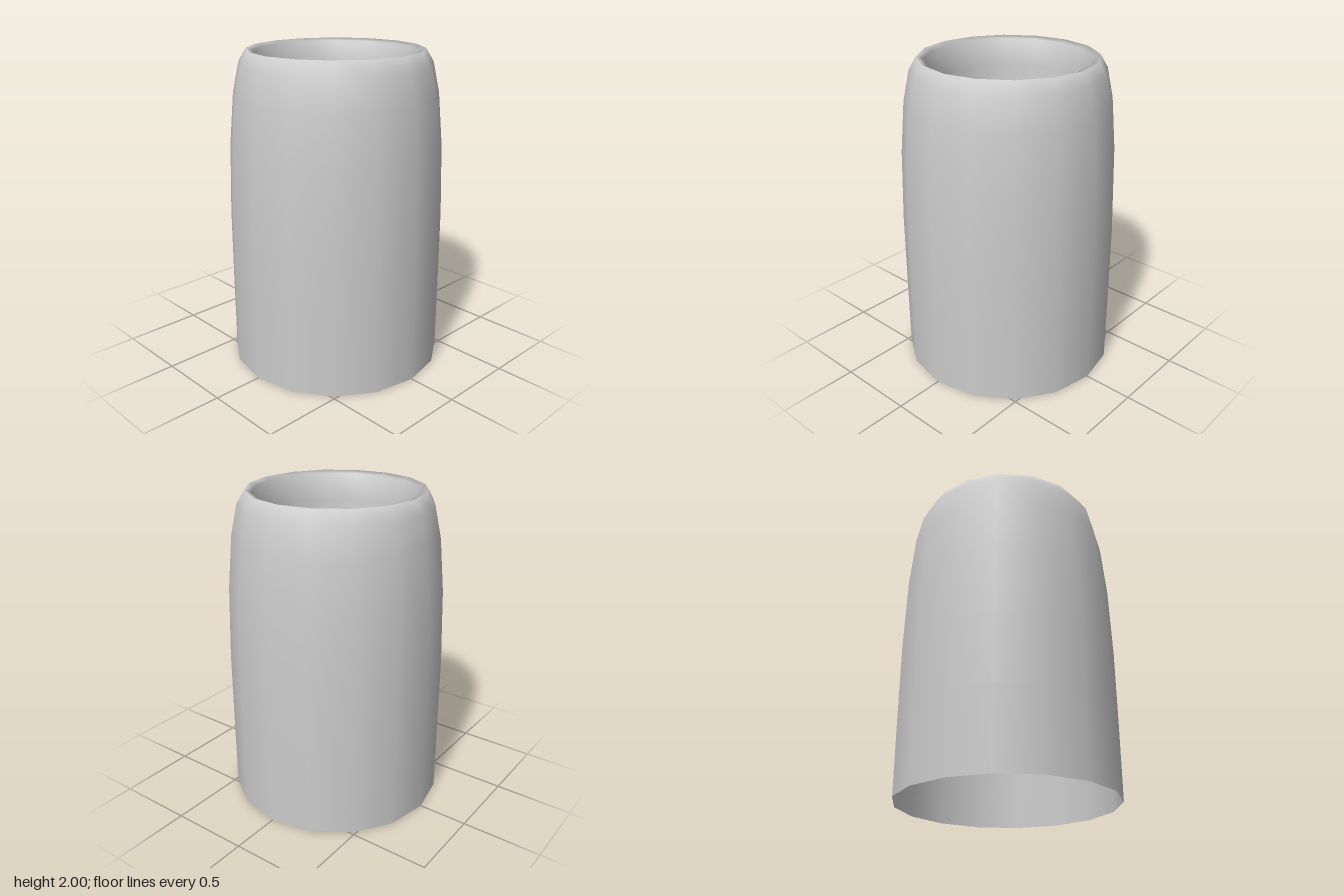
import * as THREE from 'three';

const SIDES = 16;

// Turn a profile of [radius, height] pairs around the y axis
function turned(name, profile, material) {
  const points = profile.map(([r, y]) => new THREE.Vector2(r, y));
  const mesh = new THREE.Mesh(new THREE.LatheGeometry(points, SIDES), material);
  mesh.name = name;
  return mesh;
}

export function createModel() {
  const group = new THREE.Group();
  group.name = 'hollowSleeve';
  const material = new THREE.MeshStandardMaterial({ color: 0xcccccc, side: THREE.DoubleSide });

  // One continuous skin: open skirt, rounded lip, then the inner cup
  const outerWall = [[0.684, 0], [0.684, 0.5], [0.682, 0.95], [0.667, 1.4], [0.636, 1.73], [0.595, 1.92]];
  const lip = [[0.547, 2], [0.505, 1.985]];
  const innerCup = [[0.47, 1.82], [0.45, 1.3], [0.37, 1.08], [0.2, 0.95], [0, 0.91]];
  group.add(turned('sleeveBody', [...outerWall, ...lip, ...innerCup], material));

  return group;
}
